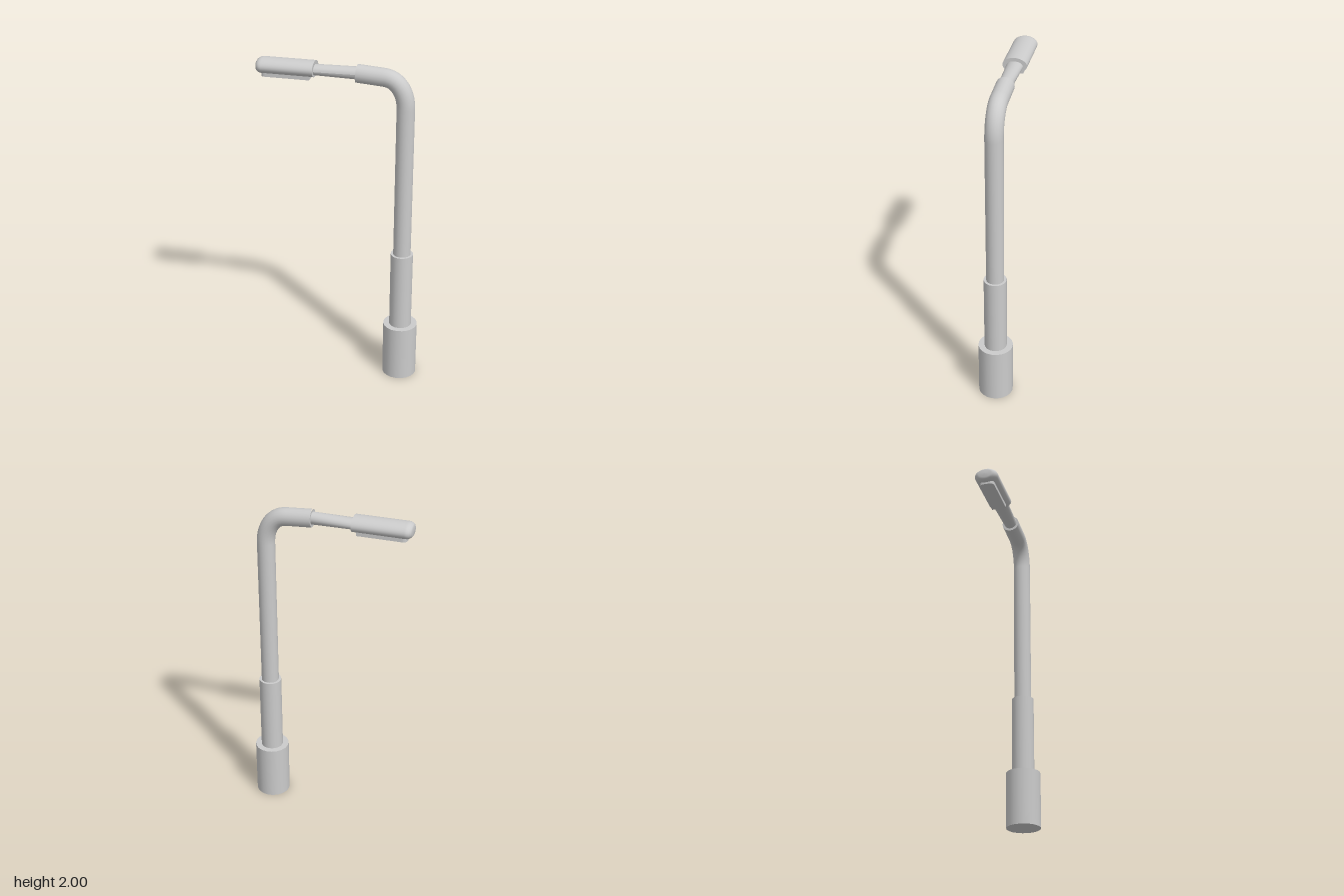
import * as THREE from 'three';

const SIDES = 20;
const POLE_X = 0.386;

export function createModel() {
  const group = new THREE.Group();
  const material = new THREE.MeshStandardMaterial({ color: 0xcccccc });

  const add = (name, geometry, parent = group) => {
    const mesh = new THREE.Mesh(geometry, material);
    mesh.name = name;
    parent.add(mesh);
    return mesh;
  };

  // Stepped base sleeves around the pole
  const sleeve = (name, radius, y0, y1) =>
    add(name, new THREE.CylinderGeometry(radius, radius, y1 - y0, SIDES))
      .position.set(POLE_X, (y0 + y1) / 2, 0);
  sleeve('baseSleeve', 0.105, 0, 0.345);
  sleeve('middleSleeve', 0.068, 0.345, 0.83);

  // Straight pole
  const R = 0.053;
  const poleBottom = 0.8, bendStart = 1.76;
  add('pole', new THREE.CylinderGeometry(R, R, bendStart - poleBottom, SIDES, 1, true))
    .position.set(POLE_X, (poleBottom + bendStart) / 2, 0);

  // Bend turning into a slightly rising arm
  const v = (x, y) => new THREE.Vector3(x, y, 0);
  const path = new THREE.CurvePath();
  const armStart = v(0.26, 1.936), armEnd = v(0.1, 1.947);
  path.add(new THREE.CubicBezierCurve3(
    v(POLE_X, bendStart), v(POLE_X, 1.85), v(0.34, 1.93), armStart));
  path.add(new THREE.LineCurve3(armStart, armEnd));
  add('poleBend', new THREE.TubeGeometry(path, 16, R, SIDES));
  const cap = add('poleEnd', new THREE.CircleGeometry(R, SIDES));
  cap.position.copy(armEnd);
  cap.rotation.y = -Math.PI / 2;

  // Thin arm: round at the pole, flattened and wider at the head
  const armLength = 0.27;
  const arm = new THREE.CylinderGeometry(1, 1, armLength, SIDES);
  arm.rotateZ(Math.PI / 2);
  const p = arm.attributes.position;
  for (let i = 0; i < p.count; i++) {
    const t = 0.5 - p.getX(i) / armLength;
    p.setY(i, p.getY(i) * THREE.MathUtils.lerp(0.037, 0.03, t));
    p.setZ(i, p.getZ(i) * THREE.MathUtils.lerp(0.039, 0.049, t));
  }
  arm.computeVertexNormals();
  add('thinArm', arm).position.set(-0.02, 1.949, 0);

  // Lamp head: oval section with a rounded tip
  const head = new THREE.Group();
  head.name = 'lampHead';
  head.position.set(0, 1.954, 0);
  group.add(head);
  const profile = [[0, 0.49], [0.55, 0.489], [0.75, 0.483], [0.9, 0.473], [0.98, 0.462], [1, 0.45], [1, 0.145]]
    .map(([r, d]) => new THREE.Vector2(r * 0.072, -d));
  const shell = new THREE.LatheGeometry(profile, 32);
  shell.rotateZ(-Math.PI / 2);
  shell.scale(1, 0.64, 1);
  add('headShell', shell, head);
  const headEnd = new THREE.CircleGeometry(0.072, 32);
  headEnd.rotateY(Math.PI / 2);
  headEnd.scale(1, 0.64, 1);
  add('headEnd', headEnd, head).position.x = -0.145;

  // Flat lens panel under the head, rounded at the tip
  const w = 0.045, c = 0.03;
  const lens = new THREE.Shape();
  lens.moveTo(-0.17, -w);
  lens.lineTo(-0.17, w);
  lens.lineTo(-0.46 + c, w);
  lens.quadraticCurveTo(-0.46, w, -0.46, w - c);
  lens.lineTo(-0.46, c - w);
  lens.quadraticCurveTo(-0.46, -w, -0.46 + c, -w);
  const panel = new THREE.ExtrudeGeometry(lens, { depth: 0.03, bevelEnabled: false, curveSegments: 6 });
  panel.rotateX(-Math.PI / 2);
  add('lensPanel', panel, head).position.y = -0.058;

  return group;
}
